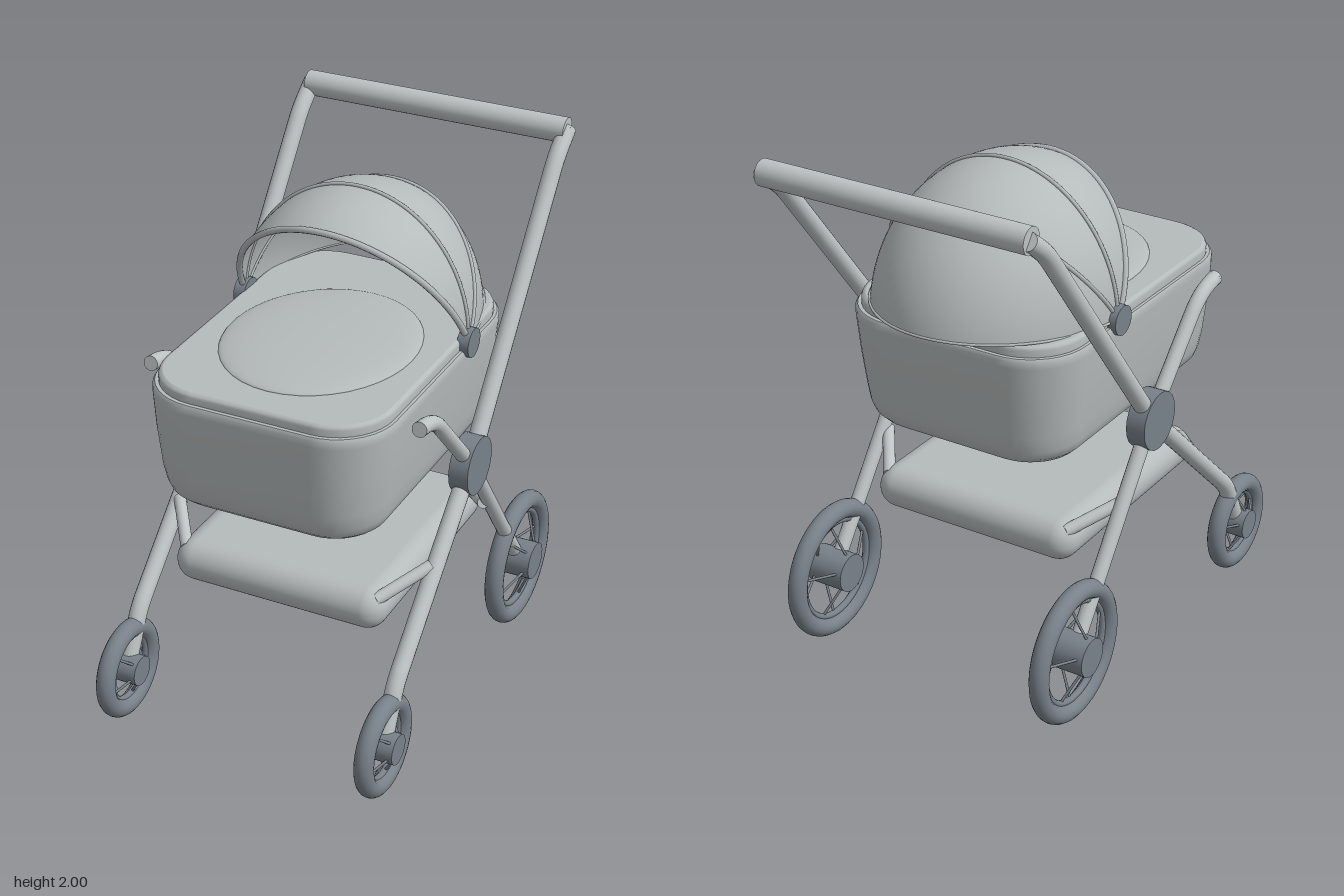
import * as THREE from 'three';
import { RoundedBoxGeometry } from 'three/addons/geometries/RoundedBoxGeometry.js';
import { ParametricGeometry } from 'three/addons/geometries/ParametricGeometry.js';

const V = (x, y, z) => new THREE.Vector3(x, y, z);

// Closed body lofted through rounded-rectangle rings: [y, halfWidth, backZ, frontZ, cornerRadius]
function loft(sections) {
  const pos = [], idx = [], per = 10, n = per * 4;
  const ring = ([y, hx, z0, z1, r]) => {
    for (let c = 0; c < 4; c++) for (let k = 0; k < per; k++) {
      const t = (c + k / (per - 1)) * Math.PI / 2;
      const cx = c === 0 || c === 3 ? hx - r : r - hx;
      const cz = c < 2 ? z1 - r : z0 + r;
      pos.push(cx + r * Math.cos(t), y, cz + r * Math.sin(t));
    }
  };
  sections.forEach(ring);
  for (let s = 0; s < sections.length - 1; s++) for (let i = 0; i < n; i++) {
    const a = s * n + i, b = s * n + (i + 1) % n;
    idx.push(a, a + n, b, b, a + n, b + n);
  }
  // flat caps on their own vertices
  for (const [sec, top] of [[sections[0], false], [sections[sections.length - 1], true]]) {
    const base = pos.length / 3;
    ring(sec);
    pos.push(0, sec[0], (sec[2] + sec[3]) / 2);
    for (let i = 0; i < n; i++) {
      const a = base + i, b = base + (i + 1) % n;
      if (top) idx.push(base + n, b, a); else idx.push(base + n, a, b);
    }
  }
  const g = new THREE.BufferGeometry();
  g.setAttribute('position', new THREE.Float32BufferAttribute(pos, 3));
  g.setIndex(idx);
  g.computeVertexNormals();
  return g;
}

// Straight runs joined by rounded bends
function bentPath(pts, bend) {
  const path = new THREE.CurvePath();
  let from = pts[0];
  for (let i = 1; i < pts.length - 1; i++) {
    const p = pts[i];
    const a = p.clone().add(pts[i - 1].clone().sub(p).setLength(bend));
    const b = p.clone().add(pts[i + 1].clone().sub(p).setLength(bend));
    path.add(new THREE.LineCurve3(from, a));
    path.add(new THREE.QuadraticBezierCurve3(a, p, b));
    from = b;
  }
  path.add(new THREE.LineCurve3(from, pts[pts.length - 1]));
  return path;
}

export function createModel() {
  const model = new THREE.Group();
  model.name = 'pram';
  const frame = new THREE.MeshStandardMaterial({ name: 'pale grey frame', color: 0xbdc2c2 });
  const fabric = new THREE.MeshStandardMaterial({ name: 'light grey fabric', color: 0xb5baba, side: THREE.DoubleSide });
  const dark = new THREE.MeshStandardMaterial({ name: 'slate grey', color: 0x78818a });

  const add = (name, geo, mat, parent = model) => {
    const m = new THREE.Mesh(geo, mat);
    m.name = name;
    parent.add(m);
    return m;
  };
  const rod = (name, a, b, r, mat, parent = model) => {
    const d = b.clone().sub(a);
    const m = add(name, new THREE.CylinderGeometry(r, r, d.length(), 20), mat, parent);
    m.position.copy(a).add(b).multiplyScalar(0.5);
    m.quaternion.setFromUnitVectors(V(0, 1, 0), d.normalize());
    return m;
  };
  const pipe = (name, pts, r, bend) => {
    const path = bentPath(pts, bend);
    add(name, new THREE.TubeGeometry(path, 80, r, 16), frame);
    // end caps
    const last = pts.length - 1;
    for (const [p, q] of [[pts[0], pts[1]], [pts[last], pts[last - 1]]]) {
      const inner = p.clone().add(q.clone().sub(p).setLength(0.01));
      rod(name + 'End', p, inner, r, frame);
    }
  };

  // Wheel: tyre, rim, hub and slanted spokes, axle along x
  const wheel = (name, x, y, z, radius, hubR, hubW) => {
    const g = new THREE.Group();
    g.name = name;
    g.position.set(x, y, z);
    model.add(g);
    const tyreR = 0.036, rimR = radius - tyreR * 2 + (radius > 0.2 ? -0.004 : 0.004);
    add('tyre', new THREE.TorusGeometry(radius - tyreR, tyreR, 16, 56).rotateY(Math.PI / 2), dark, g);
    add('rim', new THREE.TorusGeometry(rimR, 0.013, 10, 56).rotateY(Math.PI / 2), dark, g);
    add('hub', new THREE.CylinderGeometry(hubR, hubR, hubW, 32).rotateZ(Math.PI / 2), dark, g);
    for (let i = 0; i < 10; i++) {
      const a = i * Math.PI / 5, b = a + (i % 2 ? 0.12 : -0.12), h = hubR * 0.9;
      rod('spoke', V((i % 2 ? 1 : -1) * hubW * 0.35, h * Math.cos(a), h * Math.sin(a)),
        V(0, rimR * Math.cos(b), rimR * Math.sin(b)), 0.005, dark, g);
    }
  };

  // Chassis, mirrored left and right
  for (const s of [1, -1]) {
    const side = s > 0 ? 'left' : 'right', x = 0.52 * s;
    pipe(side + 'MainTube', [V(x, 0.2, 0.68), V(x, 0.40, 0.585), V(x, 0.97, -0.026),
      V(x, 1.88, -0.735), V(x, 1.955, -0.835)], 0.033, 0.05);
    pipe(side + 'RearLeg', [V(x, 1.345, 0.425), V(x, 1.325, 0.31), V(x, 0.97, -0.026),
      V(x, 0.48, -0.385), V(x, 0.275, -0.535)], 0.028, 0.08);
    rod(side + 'FoldingJoint', V(x - 0.037, 0.97, -0.026), V(x + 0.037, 0.97, -0.026), 0.11, dark);
    wheel(side + 'FrontWheel', x, 0.197, 0.68, 0.192, 0.057, 0.12);
    wheel(side + 'RearWheel', x, 0.272, -0.535, 0.267, 0.073, 0.15);
    rod(side + 'FrontBasketStrut', V(0.51 * s, 0.71, 0.28), V(0.38 * s, 0.635, 0.46), 0.023, frame);
    rod(side + 'RearBasketStrut', V(0.51 * s, 0.71, -0.19), V(0.38 * s, 0.635, -0.37), 0.023, frame);
    rod(side + 'CanopyKnob', V(0.425 * s, 1.39, -0.145), V(0.47 * s, 1.39, -0.145), 0.055, dark);
  }
  rod('handlebar', V(-0.525, 1.953, -0.822), V(0.525, 1.953, -0.822), 0.048, frame);

  // Storage basket
  add('basket', new RoundedBoxGeometry(0.84, 0.16, 0.945, 6, 0.078), fabric).position.set(0, 0.59, 0.047);

  // Bassinet body, cover and soft bulge on the cover
  add('bassinet', loft([
    [0.935, 0.36, -0.475, 0.585, 0.16],
    [0.942, 0.385, -0.505, 0.61, 0.17],
    [0.965, 0.408, -0.525, 0.635, 0.18],
    [1.0, 0.42, -0.54, 0.65, 0.19],
    [1.06, 0.43, -0.55, 0.664, 0.2],
    [1.2, 0.445, -0.568, 0.676, 0.21],
    [1.34, 0.455, -0.584, 0.684, 0.22],
    [1.365, 0.455, -0.585, 0.683, 0.22],
    [1.376, 0.449, -0.579, 0.677, 0.22],
  ]), fabric);
  add('cover', loft([
    [1.37, 0.438, -0.565, 0.663, 0.21],
    [1.4, 0.438, -0.565, 0.663, 0.21],
    [1.41, 0.434, -0.561, 0.659, 0.208],
    [1.415, 0.424, -0.551, 0.649, 0.2],
  ]), fabric);
  const bulge = add('coverBulge', new THREE.SphereGeometry(1, 40, 12, 0, Math.PI * 2, 0, Math.PI / 2), fabric);
  bulge.scale.set(0.35, 0.035, 0.41);
  bulge.position.set(0, 1.414, 0.12);

  // Canopy: half-ellipse hoops fanned around the pivot
  const hoops = [[59, 0.515], [92, 0.503], [127, 0.52], [175, 0.56]];
  const reach = new THREE.SplineCurve(hoops.map(([a, l]) => new THREE.Vector2(a, l)));
  const onHoop = (deg, len, u, target, grow = 0) => {
    const a = deg * Math.PI / 180, h = (len + grow) * Math.sin(u);
    return target.set((0.445 + grow) * Math.cos(u), 1.39 + h * Math.sin(a), -0.145 + h * Math.cos(a));
  };
  add('canopy', new ParametricGeometry((u, v, target) => {
    const p = reach.getPoint(v);
    onHoop(p.x, p.y, u * Math.PI, target);
  }, 48, 36), fabric);
  hoops.forEach(([a, l], i) => {
    const pts = [];
    for (let k = 0; k <= 32; k++) pts.push(onHoop(a, l, k * Math.PI / 32, V(0, 0, 0), 0.002));
    add('canopyRib', new THREE.TubeGeometry(new THREE.CatmullRomCurve3(pts), 64, i === 0 ? 0.012 : i === 3 ? 0.005 : 0.008, 8), fabric);
  });

  return model;
}
